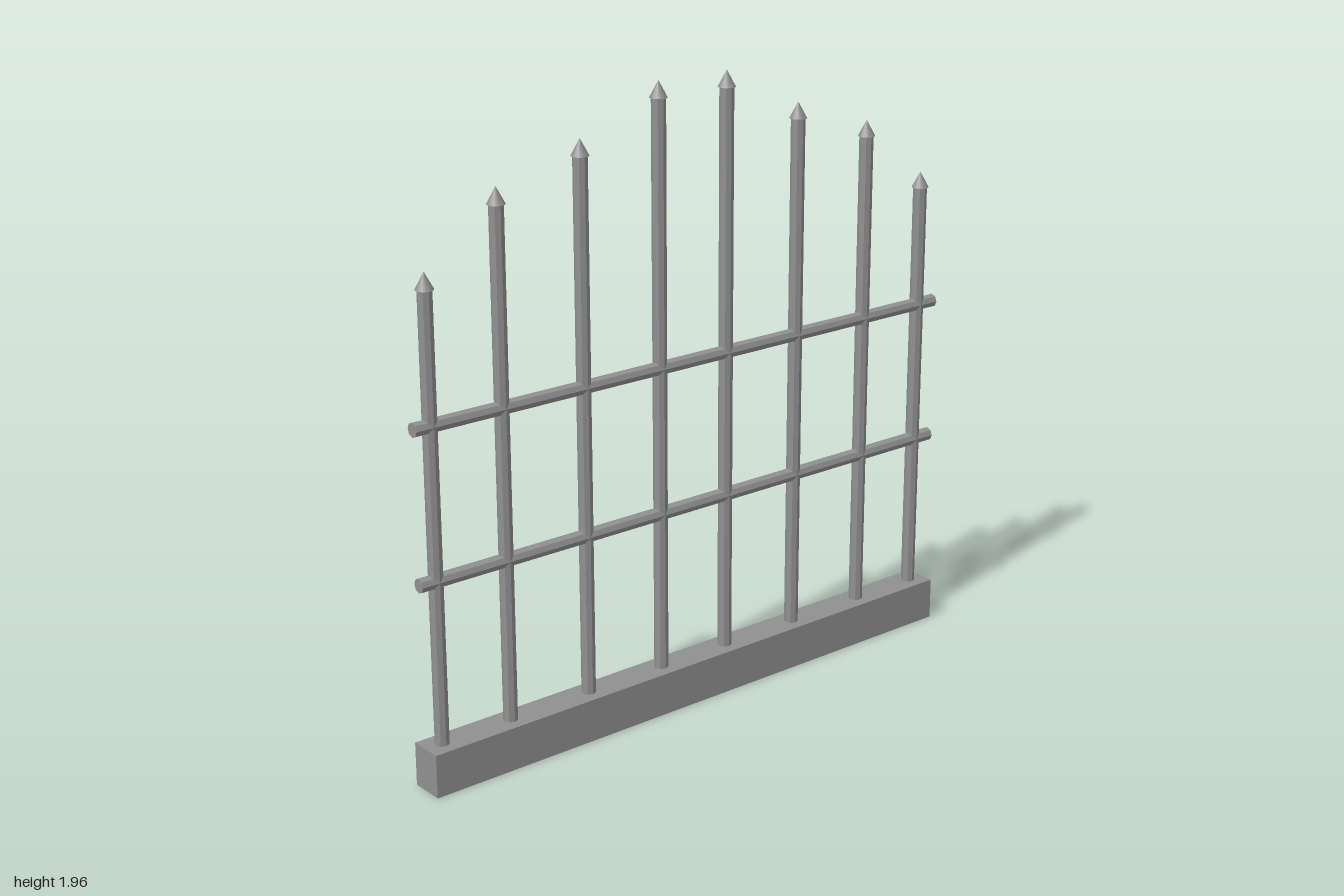
import * as THREE from 'three';

const SIDES = 8;
const iron = new THREE.MeshStandardMaterial({ color: 0x909090, flatShading: true });
const smoothIron = new THREE.MeshStandardMaterial({ color: 0x909090 });

function addMesh(parent, name, geometry, material, y, z) {
  const mesh = new THREE.Mesh(geometry, material);
  mesh.name = name;
  mesh.position.set(0, y, z);
  parent.add(mesh);
}

export function createModel() {
  const fence = new THREE.Group();
  fence.name = 'fence';

  // Low plinth, a touch short of the rails at the back end
  const baseTop = 0.135;
  addMesh(fence, 'base', new THREE.BoxGeometry(0.108, baseTop, 1.987), iron, baseTop / 2, 0.0065);

  // Two horizontal rails running the full length
  for (const y of [0.64, 1.1]) {
    const rail = new THREE.CylinderGeometry(0.022, 0.022, 2, SIDES).rotateX(Math.PI / 2);
    addMesh(fence, 'rail', rail, iron, y, 0);
  }

  // Pickets [z, tip height], rising in steps towards the middle
  const pickets = [
    [0.943, 1.537], [0.703, 1.735], [0.416, 1.828], [0.135, 1.957],
    [-0.12, 1.957], [-0.402, 1.828], [-0.688, 1.735], [-0.93, 1.537],
  ];
  const tipHeight = 0.05;
  for (const [z, top] of pickets) {
    const picket = new THREE.Group();
    picket.name = 'picket';
    picket.position.z = z;
    fence.add(picket);

    // Shaft, sunk slightly into the plinth
    const bottom = baseTop - 0.02;
    const length = top - tipHeight - bottom;
    const shaft = new THREE.CylinderGeometry(0.022, 0.022, length, SIDES);
    addMesh(picket, 'shaft', shaft, iron, bottom + length / 2, 0);

    // Pointed cap, wider than the shaft
    const tip = new THREE.ConeGeometry(0.027, tipHeight, 16);
    addMesh(picket, 'tip', tip, smoothIron, top - tipHeight / 2, 0);
  }

  return fence;
}
